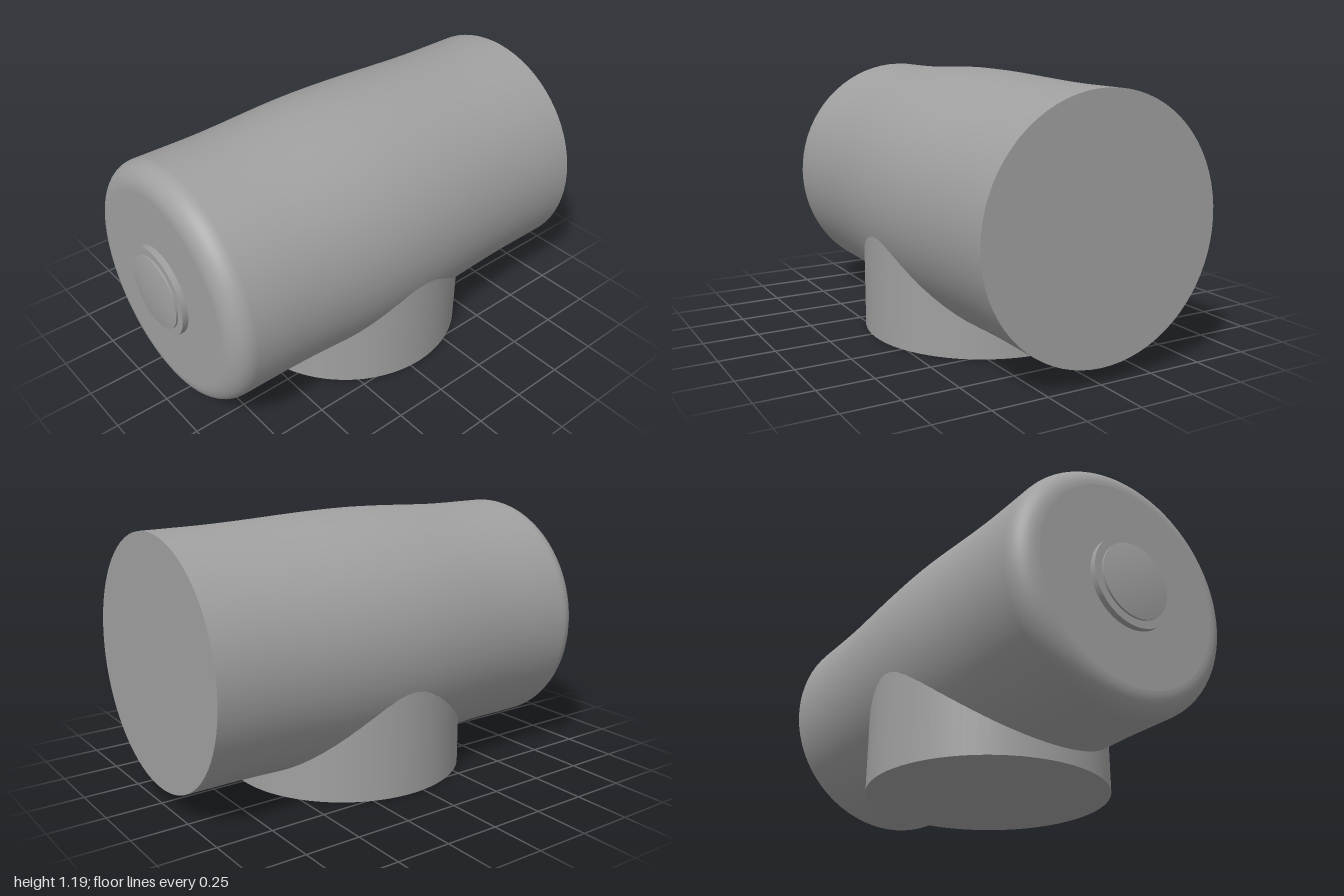
import * as THREE from 'three';

const AXIS_Y = 0.62;

export function createModel() {
  const grey = new THREE.MeshStandardMaterial({ color: 0xa0a0a0 });
  grey.name = 'plain grey';
  const model = new THREE.Group();
  model.name = 'teeHousing';

  const add = (name, geometry, y, z = 0) => {
    const mesh = new THREE.Mesh(geometry, grey);
    mesh.name = name;
    mesh.position.set(0, y, z);
    model.add(mesh);
  };
  // Turn a [radius, z] profile around the horizontal z axis
  const turn = (profile, segments = 72) =>
    new THREE.LatheGeometry(profile.map(([r, z]) => new THREE.Vector2(r, z)), segments).rotateX(Math.PI / 2);

  // Barrel: straight ends, gentle swelling in the middle, rounded front edge
  const barrel = [[0.55, -1]];
  for (let i = 0; i <= 28; i++) {
    const t = i / 14 - 1;
    const z = t * (t < 0 ? 0.8 : 0.65);
    barrel.push([0.55 + 0.011 * (1 + Math.cos(Math.PI * t)), z]);
  }
  for (let i = 0; i <= 10; i++) {
    const a = (i / 10) * Math.PI / 2;
    barrel.push([0.45 + 0.1 * Math.cos(a), 0.85 + 0.1 * Math.sin(a)]);
  }
  add('barrel', turn(barrel), AXIS_Y);
  add('frontFace', new THREE.CircleGeometry(0.45, 72), AXIS_Y, 0.95);
  add('backFace', new THREE.CircleGeometry(0.55, 72).rotateY(Math.PI), AXIS_Y, -1);

  // Stepped round button on the front
  add('buttonRing', new THREE.CylinderGeometry(0.203, 0.203, 0.04, 48).rotateX(Math.PI / 2), AXIS_Y, 0.957);
  add('buttonRim', turn([[0.168, 0.96], [0.168, 0.986]], 48), AXIS_Y);
  const dome = [];
  for (let i = 0; i <= 8; i++) {
    const r = 0.168 * (1 - i / 8);
    dome.push([r, 1 - 0.014 * (r / 0.168) ** 2]);
  }
  add('buttonDome', turn(dome, 48), AXIS_Y);

  // Vertical branch running up into the barrel
  add('branch', new THREE.CylinderGeometry(0.55, 0.55, 0.6, 72), 0.3, -0.05);

  return model;
}
